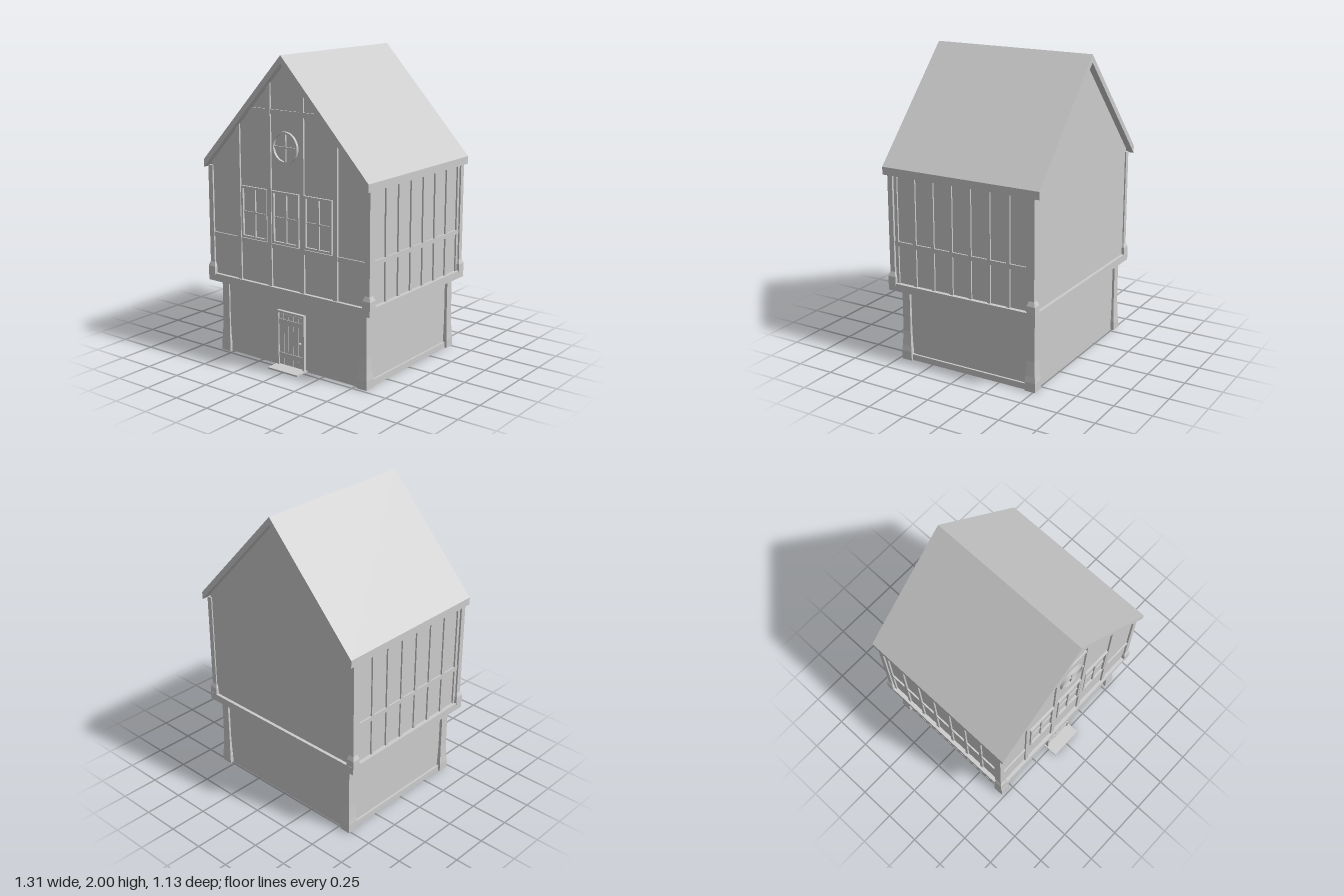
import * as THREE from 'three';

const mat = new THREE.MeshStandardMaterial({ color: 0xcccccc, flatShading: true });
const smooth = new THREE.MeshStandardMaterial({ color: 0xcccccc });

function add(parent, name, geometry, material = mat) {
  const mesh = new THREE.Mesh(geometry, material);
  mesh.name = name;
  parent.add(mesh);
  return mesh;
}

// Box given by its limits on each axis
function box(parent, name, x0, x1, y0, y1, z0, z1) {
  const mesh = add(parent, name, new THREE.BoxGeometry(x1 - x0, y1 - y0, z1 - z0));
  mesh.position.set((x0 + x1) / 2, (y0 + y1) / 2, (z0 + z1) / 2);
  return mesh;
}

// Shape extruded along z from z0 to z1
function slab(parent, name, points, z0, z1, hole) {
  const shape = new THREE.Shape(points.map(p => new THREE.Vector2(...p)));
  if (hole) shape.holes.push(new THREE.Path(hole.map(p => new THREE.Vector2(...p))));
  const geometry = new THREE.ExtrudeGeometry(shape, { depth: z1 - z0, bevelEnabled: false });
  return add(parent, name, geometry.translate(0, 0, z0));
}

// Square post with a wider foot: steps are [height, half width]
function post(parent, name, x, z, steps) {
  const profile = steps.map(([y, h]) => new THREE.Vector2(h * Math.SQRT2, y));
  const top = steps[steps.length - 1][0];
  profile.unshift(new THREE.Vector2(0, steps[0][0]));
  profile.push(new THREE.Vector2(0, top));
  const geometry = new THREE.LatheGeometry(profile, 4, Math.PI / 4);
  add(parent, name, geometry.toNonIndexed()).position.set(x, 0, z);
}

const roofUnder = x => 1.95 - Math.abs(x) * 1.077;

function lowerFloor(parent) {
  const g = new THREE.Group();
  g.name = 'lowerFloor';
  box(g, 'lowerWalls', -0.567, 0.567, 0, 0.49, -0.49, 0.46);
  for (const s of [-1, 1]) {
    for (const z of [0.443, -0.477]) {
      post(g, 'lowerCornerPost', s * 0.558, z,
        [[0, 0.037], [0.06, 0.037], [0.1, 0.033], [0.2, 0.028], [0.49, 0.028]]);
    }
    // Side frame with clipped inner corners
    const a = -0.42, b = 0.46, c = 0.02, y0 = 0.04, y1 = 0.475;
    const frame = slab(g, 'sidePanelFrame',
      [[-0.455, 0], [0.49, 0], [0.49, 0.49], [-0.455, 0.49]], 0, 0.014,
      [[a + c, y0], [a, y0 + c], [a, y1 - c], [a + c, y1], [b - c, y1], [b, y1 - c], [b, y0 + c], [b - c, y0]]);
    frame.rotation.y = s * Math.PI / 2;
    if (s < 0) frame.scale.x = -1;
    frame.position.x = s * 0.567;
    if (s < 0) {
      frame.scale.x = 1;
      frame.geometry.scale(-1, 1, 1);
      // restore the facing after the mirror
      const p = frame.geometry.attributes.position;
      for (let i = 0; i < p.count; i += 3) {
        const u = [p.getX(i), p.getY(i), p.getZ(i)];
        p.setXYZ(i, p.getX(i + 1), p.getY(i + 1), p.getZ(i + 1));
        p.setXYZ(i + 1, ...u);
      }
      frame.geometry.computeVertexNormals();
    }
  }
  parent.add(g);
}

function door(parent) {
  const g = new THREE.Group();
  g.name = 'door';
  box(g, 'doorstep', -0.12, 0.12, 0, 0.01, 0.46, 0.565);
  for (const s of [-1, 1]) box(g, 'doorJamb', s * 0.104 - 0.006, s * 0.104 + 0.006, 0.01, 0.375, 0.46, 0.482);
  box(g, 'doorLintel', -0.11, 0.11, 0.36, 0.375, 0.46, 0.482);
  box(g, 'doorBacking', -0.098, 0.098, 0.01, 0.36, 0.46, 0.466);
  for (let i = 0; i < 5; i++) {
    const x = -0.096 + i * 0.0388;
    box(g, 'doorPlank', x, x + 0.0358, 0.015, 0.355, 0.462, 0.473);
  }
  for (const y of [0.06, 0.285]) box(g, 'doorCrossbar', -0.095, 0.095, y, y + 0.035, 0.465, 0.478);
  add(g, 'doorKnob', new THREE.SphereGeometry(0.009, 16, 10), smooth).position.set(0.08, 0.185, 0.484);
  parent.add(g);
}

function upperFloor(parent) {
  const g = new THREE.Group();
  g.name = 'upperFloor';
  box(g, 'overhangBand', -0.65, 0.65, 0.49, 0.54, -0.543, 0.53);
  const e = 0.622;
  slab(g, 'gableWalls', [[-e, 0.54], [e, 0.54], [e, roofUnder(e)], [0, 1.95], [-e, roofUnder(e)]], -0.522, 0.507);
  for (const s of [-1, 1]) {
    for (const z of [0.502, -0.513]) {
      post(g, 'upperCornerPost', s * 0.624, z,
        [[0.53, 0.029], [0.585, 0.028], [0.615, 0.0175], [1.26, 0.0175]]);
    }
    // Side timbers
    const limits = s > 0 ? [0.61, 0.633] : [-0.633, -0.61];
    for (let i = 0; i < 8; i++) {
      const z = 0.468 - i * 0.1355;
      box(g, 'sideTimber', ...limits, 0.54, 1.27, z - 0.011, z + 0.011);
    }
    box(g, 'sideRail', ...limits, 0.79, 0.82, -0.51, 0.5);
    // Front timbers cut to the roof slope
    for (const x of [0.13, 0.385]) {
      const a = s * x - 0.016, b = s * x + 0.016;
      slab(g, 'frontTimber', [[a, 0.54], [b, 0.54], [b, roofUnder(b)], [a, roofUnder(a)]], 0.5, 0.519);
    }
  }
  box(g, 'frontRail', -0.61, 0.61, 0.79, 0.82, 0.5, 0.517);
  slab(g, 'gableRail', [[-0.293, 1.635], [0.293, 1.635], [0.265, 1.665], [-0.265, 1.665]], 0.5, 0.517);
  parent.add(g);
}

function casement(parent, x) {
  const g = new THREE.Group();
  g.name = 'window';
  const w = 0.106, y0 = 0.825, y1 = 1.16, t = 0.014;
  slab(g, 'windowFrame', [[-w, y0], [w, y0], [w, y1], [-w, y1]], 0.5, 0.522,
    [[-w + t, y0 + t], [-w + t, y1 - t], [w - t, y1 - t], [w - t, y0 + t]]);
  box(g, 'windowMullion', -0.008, 0.008, y0 + t, y1 - t, 0.5, 0.518);
  box(g, 'windowBar', -w + t, w - t, 0.985, 0.997, 0.5, 0.514);
  g.position.x = x;
  parent.add(g);
}

function roundWindow(parent) {
  const g = new THREE.Group();
  g.name = 'roundWindow';
  const ring = new THREE.Shape().absarc(0, 0, 0.1, 0, Math.PI * 2);
  ring.holes.push(new THREE.Path().absarc(0, 0, 0.086, 0, Math.PI * 2, true));
  add(g, 'roundFrame', new THREE.ExtrudeGeometry(ring, { depth: 0.022, bevelEnabled: false, curveSegments: 20 }));
  box(g, 'uprightBar', -0.006, 0.006, -0.09, 0.09, 0, 0.016);
  box(g, 'crossBar', -0.09, 0.09, -0.006, 0.006, 0, 0.014);
  g.position.set(0, 1.437, 0.502);
  parent.add(g);
}

export function createModel() {
  const model = new THREE.Group();
  model.name = 'timberHouse';
  lowerFloor(model);
  door(model);
  upperFloor(model);
  for (const x of [-0.254, 0, 0.254]) casement(model, x);
  roundWindow(model);
  // Steep roof, open below
  slab(model, 'roof', [[0, 2], [-0.65, 1.3], [-0.65, 1.25], [0, 1.95], [0.65, 1.25], [0.65, 1.3]], -0.565, 0.55);
  return model;
}
